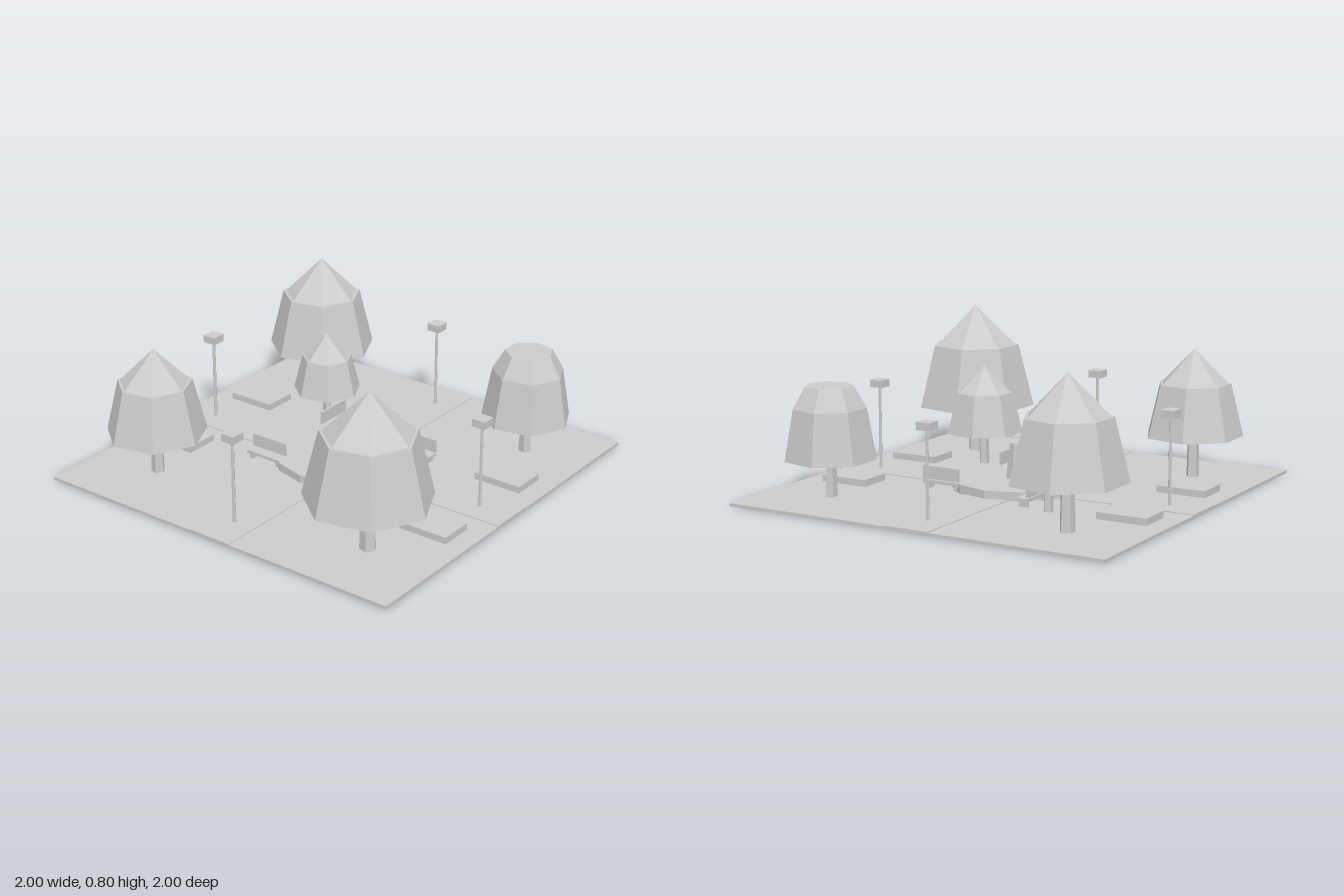
import * as THREE from 'three';

export function createModel() {
  const model = new THREE.Group();
  model.name = 'parkSquare';
  const stone = new THREE.MeshStandardMaterial({ color: 0xcccccc, flatShading: true });
  stone.name = 'plainGrey';

  const add = (parent, name, geometry, x, y, z) => {
    const mesh = new THREE.Mesh(geometry, stone);
    mesh.name = name;
    mesh.position.set(x, y, z);
    parent.add(mesh);
    return mesh;
  };
  const box = (parent, name, w, h, d, x, y, z) =>
    add(parent, name, new THREE.BoxGeometry(w, h, d), x, y, z);
  // Faceted frustum between two heights, with one corner pointing to +x
  const frustum = (parent, name, rBottom, rTop, y0, y1, sides, x = 0, z = 0) => {
    const g = new THREE.CylinderGeometry(rTop, rBottom, y1 - y0, sides);
    g.rotateY(Math.PI / 2);
    return add(parent, name, g, x, (y0 + y1) / 2, z);
  };
  const group = (name, x = 0, z = 0) => {
    const g = new THREE.Group();
    g.name = name;
    g.position.set(x, 0, z);
    model.add(g);
    return g;
  };

  // Ground and crossing paths
  box(model, 'ground', 2, 0.016, 2, 0, 0.008, 0);
  box(model, 'pathAlongZ', 0.23, 0.004, 2, 0, 0.018, 0);
  for (const s of [-1, 1]) box(model, 'pathAlongX', 0.885, 0.004, 0.23, s * 0.5575, 0.018, 0);

  // Central plinth and pillar
  frustum(model, 'plinth', 0.33, 0.33, 0.016, 0.06, 12);
  frustum(model, 'pillar', 0.064, 0.045, 0.06, 0.235, 8);

  // Pointed trees: x, z, radius, crown bottom, shoulder, tip
  const trees = [
    [0.64, 0.64, 0.31, 0.265, 0.59, 0.8],
    [-0.64, -0.67, 0.28, 0.245, 0.54, 0.735],
    [-0.64, 0.64, 0.25, 0.225, 0.49, 0.665],
    [0.43, 0.38, 0.2, 0.18, 0.39, 0.53],
    [-0.385, -0.385, 0.175, 0.155, 0.34, 0.465],
  ];
  const trunk = (tree, r, bottom) =>
    frustum(tree, 'trunk', r * 0.135, r * 0.11, 0.016, bottom + 0.03, 5);
  for (const [x, z, r, bottom, shoulder, tip] of trees) {
    const tree = group('tree', x, z);
    trunk(tree, r, bottom);
    frustum(tree, 'lowerCrown', r, r * 0.74, bottom, shoulder, 7);
    frustum(tree, 'upperCrown', r * 0.69, 0, shoulder, tip, 7);
  }

  // Flat-topped tree
  const round = group('flatTopTree', 0.67, -0.64);
  trunk(round, 0.24, 0.2);
  frustum(round, 'lowerCrown', 0.225, 0.18, 0.2, 0.45, 7);
  frustum(round, 'upperCrown', 0.18, 0.12, 0.45, 0.555, 7);

  // Benches: centre and turn
  const benches = [
    [0.282, -0.24, 0], [-0.282, 0.24, 0],
    [0.24, 0.282, Math.PI / 2], [-0.24, -0.282, Math.PI / 2],
  ];
  for (const [x, z, turn] of benches) {
    const bench = group('bench', x, z);
    bench.rotation.y = turn;
    box(bench, 'seat', 0.205, 0.016, 0.06, 0, 0.052, 0);
    box(bench, 'backrest', 0.205, 0.065, 0.01, 0, 0.0975, -0.026);
    for (const s of [-1, 1]) box(bench, 'leg', 0.016, 0.03, 0.045, s * 0.08, 0.03, 0);
  }

  // Raised planting beds
  for (const sx of [-1, 1])
    for (const sz of [-1, 1]) box(model, 'bed', 0.256, 0.034, 0.177, sx * 0.77, 0.033, sz * 0.312);

  // Lamp posts
  for (const [x, z] of [[0.82, 0], [-0.82, 0], [0, 0.82], [0, -0.82]]) {
    const lamp = group('lampPost', x, z);
    frustum(lamp, 'pole', 0.009, 0.008, 0.016, 0.44, 6);
    box(lamp, 'lampHead', 0.072, 0.038, 0.072, 0, 0.459, 0);
  }
  return model;
}
